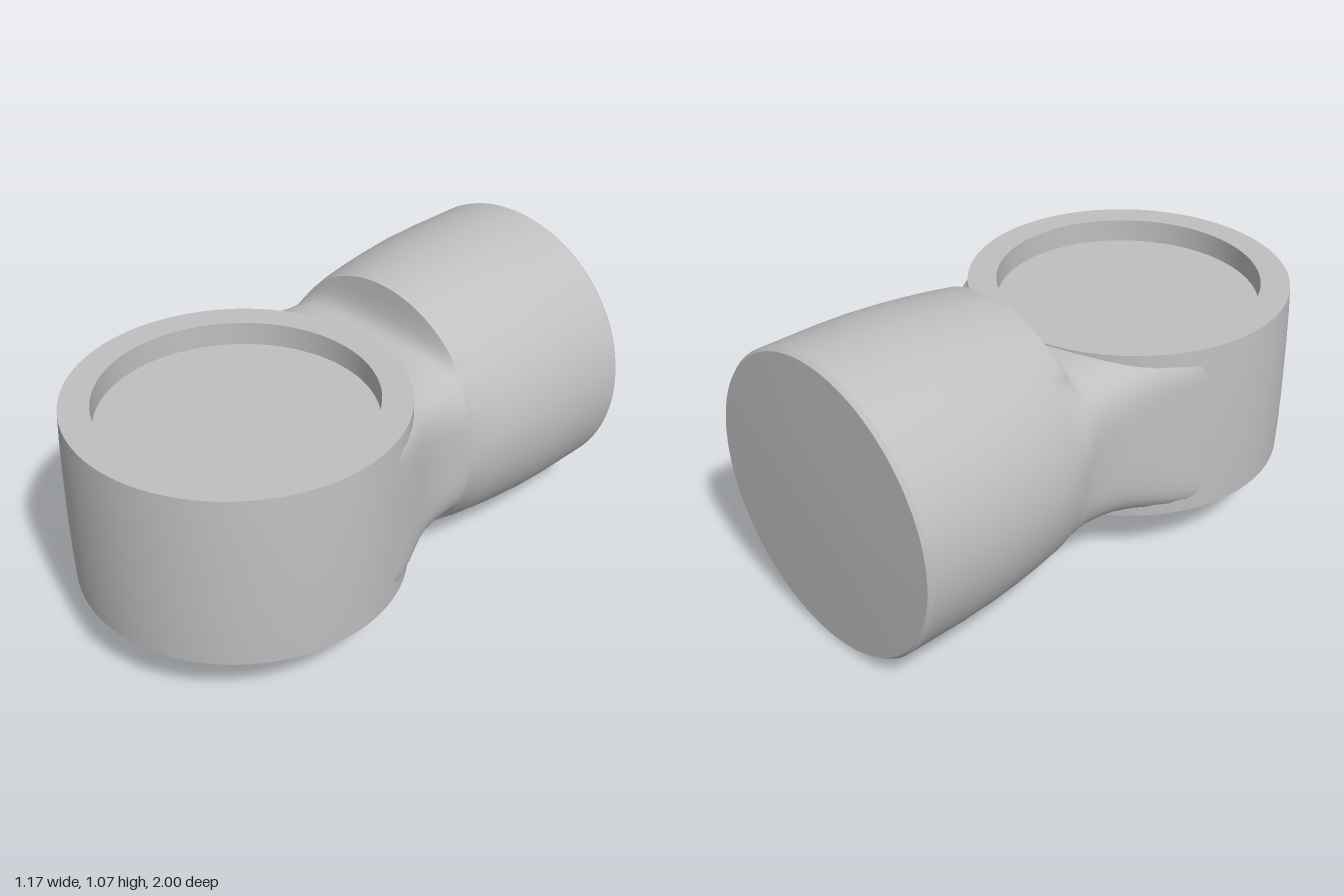
import * as THREE from 'three';
import { toCreasedNormals } from 'three/addons/utils/BufferGeometryUtils.js';

const CUP_Z = 0.41;      // centre of the upright cup
const AXIS_Y = 0.535;    // height of the barrel axis
const SIDES = 112;

// Loft of superellipse sections along -z: [z, half width, half height, exponent]
function loft(sections) {
  const positions = [], index = [];
  for (const [z, w, h, n] of sections) {
    for (let j = 0; j < SIDES; j++) {
      const t = (j / SIDES) * Math.PI * 2;
      const c = Math.cos(t), s = Math.sin(t);
      const r = Math.pow(Math.pow(Math.abs(c) / w, n) + Math.pow(Math.abs(s) / h, n), -1 / n);
      const x = r * c;
      // Stop the neck inside the cup wall so that it never enters the recess
      const limit = CUP_Z - Math.sqrt(Math.max(0, 0.53 * 0.53 - x * x));
      positions.push(x, AXIS_Y + r * s, Math.min(z, limit));
    }
  }
  for (let i = 0; i < sections.length - 1; i++) {
    for (let j = 0; j < SIDES; j++) {
      const k = (j + 1) % SIDES;
      const a = i * SIDES + j, b = i * SIDES + k;
      const c = a + SIDES, d = b + SIDES;
      index.push(a, c, b, b, c, d);
    }
  }
  const geometry = new THREE.BufferGeometry();
  geometry.setAttribute('position', new THREE.Float32BufferAttribute(positions, 3));
  geometry.setIndex(index);
  return toCreasedNormals(geometry, 0.6);
}

export function createModel() {
  const group = new THREE.Group();
  const grey = new THREE.MeshStandardMaterial({ color: 0xc0c0c0 });
  grey.name = 'grey';

  const add = (name, geometry) => {
    const mesh = new THREE.Mesh(geometry, grey);
    mesh.name = name;
    group.add(mesh);
    return mesh;
  };

  // Round cup with a slightly bulged wall and a shallow recess on top
  const profile = [
    [0, 0.215], [0.579, 0.215], [0.583, 0.32], [0.585, 0.45], [0.585, 0.63],
    [0.583, 0.76], [0.579, 0.861], [0.475, 0.861], [0.475, 0.775], [0, 0.775],
  ].map(([x, y]) => new THREE.Vector2(x, y));
  add('cup', toCreasedNormals(new THREE.LatheGeometry(profile, 96), 0.6)).position.z = CUP_Z;

  // Waisted neck that flares through a fillet into the horizontal barrel
  add('neckAndBarrel', loft([
    [0.24, 0.556, 0.321, 12],
    [0.17, 0.541, 0.321, 10],
    [0.1, 0.515, 0.321, 8],
    [0.05, 0.495, 0.321, 6.5],
    [0, 0.475, 0.321, 5.5],
    [-0.06, 0.457, 0.321, 4.8],
    [-0.12, 0.45, 0.321, 4.4],
    [-0.18, 0.452, 0.323, 4],
    [-0.21, 0.456, 0.332, 3.6],
    [-0.23, 0.46, 0.352, 3.2],
    [-0.242, 0.463, 0.385, 2.8],
    [-0.25, 0.465, 0.43, 2.4],
    [-0.256, 0.468, 0.487, 2.05],
    [-0.33, 0.496, 0.499, 2],
    [-0.42, 0.51, 0.511, 2],
    [-0.52, 0.522, 0.522, 2],
    [-0.63, 0.531, 0.531, 2],
    [-0.75, 0.535, 0.535, 2],
    [-0.972, 0.535, 0.535, 2],
    // Chamfer and slightly domed end cap
    [-0.986, 0.525, 0.525, 2],
    [-0.994, 0.26, 0.26, 2],
    [-1.0, 0.001, 0.001, 2],
  ]));

  return group;
}
